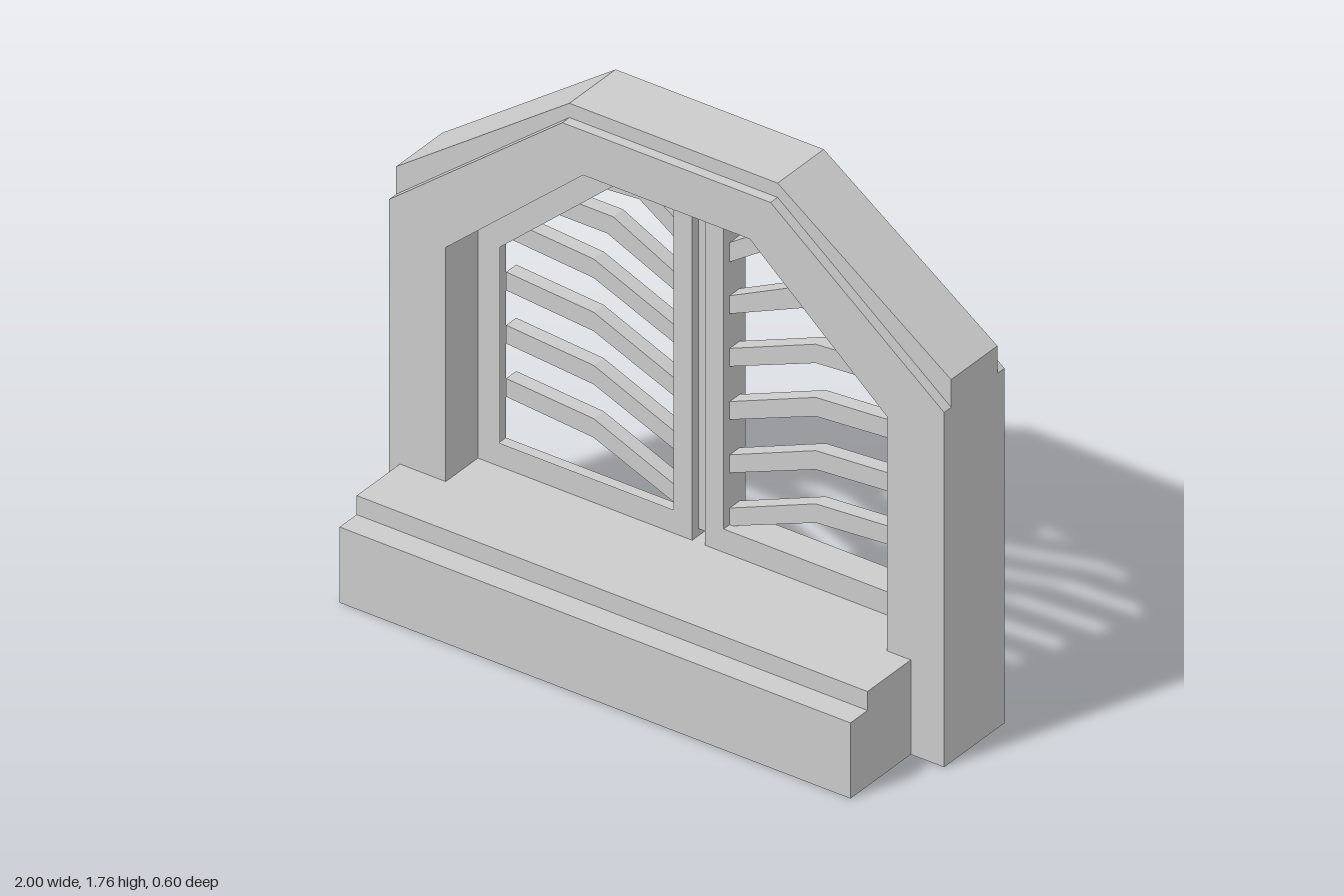
import * as THREE from 'three';

const material = new THREE.MeshStandardMaterial({ color: 0xcccccc, flatShading: true });
const shellMaterial = new THREE.MeshStandardMaterial({ color: 0xcccccc, flatShading: true, side: THREE.DoubleSide });

const points = (list) => list.map(([x, y]) => new THREE.Vector2(x, y));
const mirrored = (list) => list.map(([x, y]) => [-x, y]);

// Extrudes an outline (with optional hole) between two depths
function slab(name, outline, z0, z1, hole) {
  const shape = new THREE.Shape(points(outline));
  if (hole) shape.holes.push(new THREE.Path(points(hole)));
  const geometry = new THREE.ExtrudeGeometry(shape, { depth: z1 - z0, bevelEnabled: false });
  geometry.translate(0, 0, z0);
  const mesh = new THREE.Mesh(geometry, material);
  mesh.name = name;
  return mesh;
}

// Arch outline with angled shoulders around the door opening
function archOutline(shoulder, top) {
  const outer = [[1, 0], [1, shoulder], [0.375, top]];
  const inner = [[0.795, 0], [0.795, 1.13], [0.3, 1.56]];
  return [...outer, ...mirrored(outer).reverse(), ...mirrored(inner), ...inner.slice().reverse()];
}

// Stepped threshold: hollow shell, open underneath
function createThreshold() {
  const profile = [[-0.299, 0], [-0.299, 0.325], [0.215, 0.325], [0.215, 0.26], [0.3, 0.26], [0.3, 0]];
  const x0 = -0.96, x1 = 0.88;
  const positions = [];
  for (let i = 0; i < profile.length - 1; i++) {
    const [za, ya] = profile[i];
    const [zb, yb] = profile[i + 1];
    positions.push(x0, ya, za, x0, yb, zb, x1, yb, zb, x0, ya, za, x1, yb, zb, x1, ya, za);
  }
  // End caps
  const contour = points(profile);
  for (const [a, b, c] of THREE.ShapeUtils.triangulateShape(contour, [])) {
    for (const [x, order] of [[x0, [a, b, c]], [x1, [a, c, b]]]) {
      for (const i of order) positions.push(x, contour[i].y, contour[i].x);
    }
  }
  const geometry = new THREE.BufferGeometry();
  geometry.setAttribute('position', new THREE.Float32BufferAttribute(positions, 3));
  geometry.computeVertexNormals();
  const mesh = new THREE.Mesh(geometry, shellMaterial);
  mesh.name = 'threshold';
  return mesh;
}

// One door leaf: frame with a window and bent slats
function createLeaf(side) {
  const leaf = new THREE.Group();
  leaf.name = side > 0 ? 'leftDoor' : 'rightDoor';
  const place = (list) => list.map(([x, y]) => [x * side, y]);

  const outline = [[0.023, 0.325], [0.795, 0.325], [0.795, 1.13], [0.3, 1.56], [0.023, 1.56]];
  const opening = [[0.09, 0.405], [0.715, 0.405], [0.715, 1.08], [0.26, 1.48], [0.09, 1.48]];
  leaf.add(slab('doorFrame', place(outline), -0.27, -0.16, place(opening)));

  // Evenly spaced slats
  const slats = [];
  for (let i = 0; i < 4; i++) {
    const y = i * 0.183;
    slats.push([[0.09, 0.4 + y], [0.4, 0.525 + y], [0.715, 0.55 + y],
      [0.715, 0.613 + y], [0.4, 0.59 + y], [0.09, 0.462 + y]]);
  }
  // Short slats under the slanted top
  slats.push([[0.09, 1.13], [0.35, 1.245], [0.53, 1.245], [0.53, 1.31], [0.33, 1.31], [0.09, 1.192]]);
  slats.push([[0.09, 1.308], [0.235, 1.405], [0.36, 1.395], [0.26, 1.478], [0.24, 1.475], [0.09, 1.375]]);
  for (const s of slats) leaf.add(slab('slat', place(s), -0.24, -0.19));
  return leaf;
}

export function createModel() {
  const model = new THREE.Group();
  model.name = 'archedGate';

  // Stone arch: tall core between two lower facings
  const arch = new THREE.Group();
  arch.name = 'arch';
  arch.add(slab('archCore', archOutline(1.315, 1.762), -0.265, -0.035));
  arch.add(slab('frontFacing', archOutline(1.22, 1.713), -0.035, 0));
  arch.add(slab('backFacing', archOutline(1.22, 1.713), -0.3, -0.265));
  model.add(arch, createThreshold());

  // Doors and the strip closing the gap between them
  for (const side of [-1, 1]) model.add(createLeaf(side));
  model.add(slab('centreStrip', [[-0.025, 0.35], [0.025, 0.35], [0.025, 1.545], [-0.025, 1.545]], -0.24, -0.19));
  return model;
}
